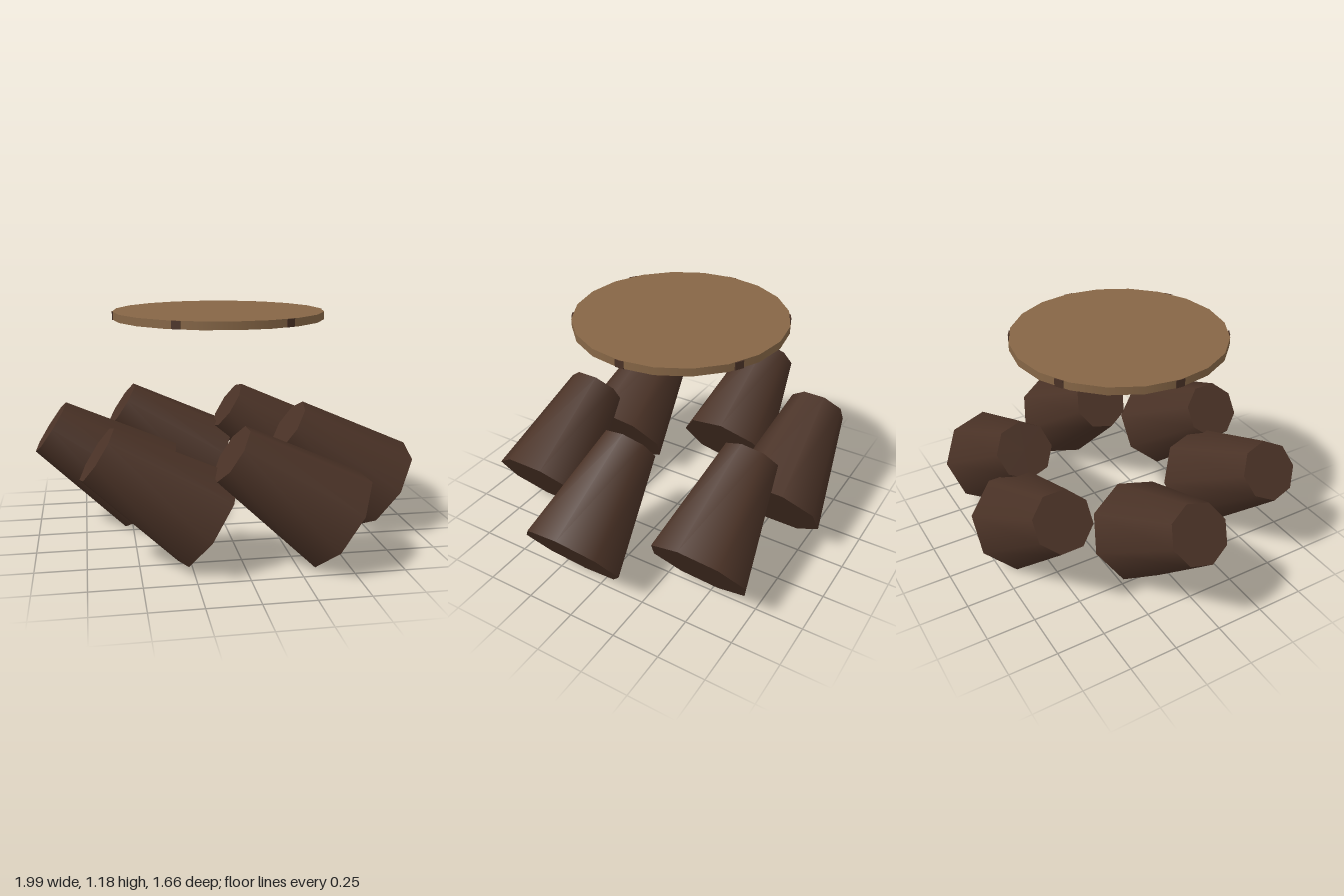
import * as THREE from 'three';

export function createModel() {
  const model = new THREE.Group();
  const wood = new THREE.MeshStandardMaterial({ color: 0x866646 });
  wood.name = 'light wood';
  const bark = new THREE.MeshStandardMaterial({ color: 0x4a3226 });
  bark.name = 'dark bark';

  const centreX = -0.035;
  const add = (name, geometry, material, x, y, z) => {
    const mesh = new THREE.Mesh(geometry, material);
    mesh.name = name;
    mesh.position.set(x, y, z);
    model.add(mesh);
    return mesh;
  };

  // Floating round top
  add('tableTop', new THREE.CylinderGeometry(0.545, 0.545, 0.04, 20), wood, centreX, 1.165, 0);

  const logGeometry = new THREE.CylinderGeometry(0.152, 0.265, 0.627, 8);
  const markGeometry = new THREE.BoxGeometry(0.006, 0.039, 0.046);
  for (let i = 0; i < 6; i++) {
    // Tapered logs in a ring, all leaning the same way, each rolled about its own axis
    const turn = (i * Math.PI) / 3;
    const angle = turn + THREE.MathUtils.degToRad(8.5);
    const log = add('log' + (i + 1), logGeometry, bark,
      centreX + 0.627 * Math.cos(angle), 0.4, 0.627 * Math.sin(angle));
    log.rotation.set(0, angle, THREE.MathUtils.degToRad(56.3), 'ZYX');

    // Dark marks around the rim
    const mark = add('rimMark' + (i + 1), markGeometry, bark,
      centreX + 0.543 * Math.cos(turn), 1.165, 0.543 * Math.sin(turn));
    mark.rotation.y = -turn;
  }
  return model;
}
